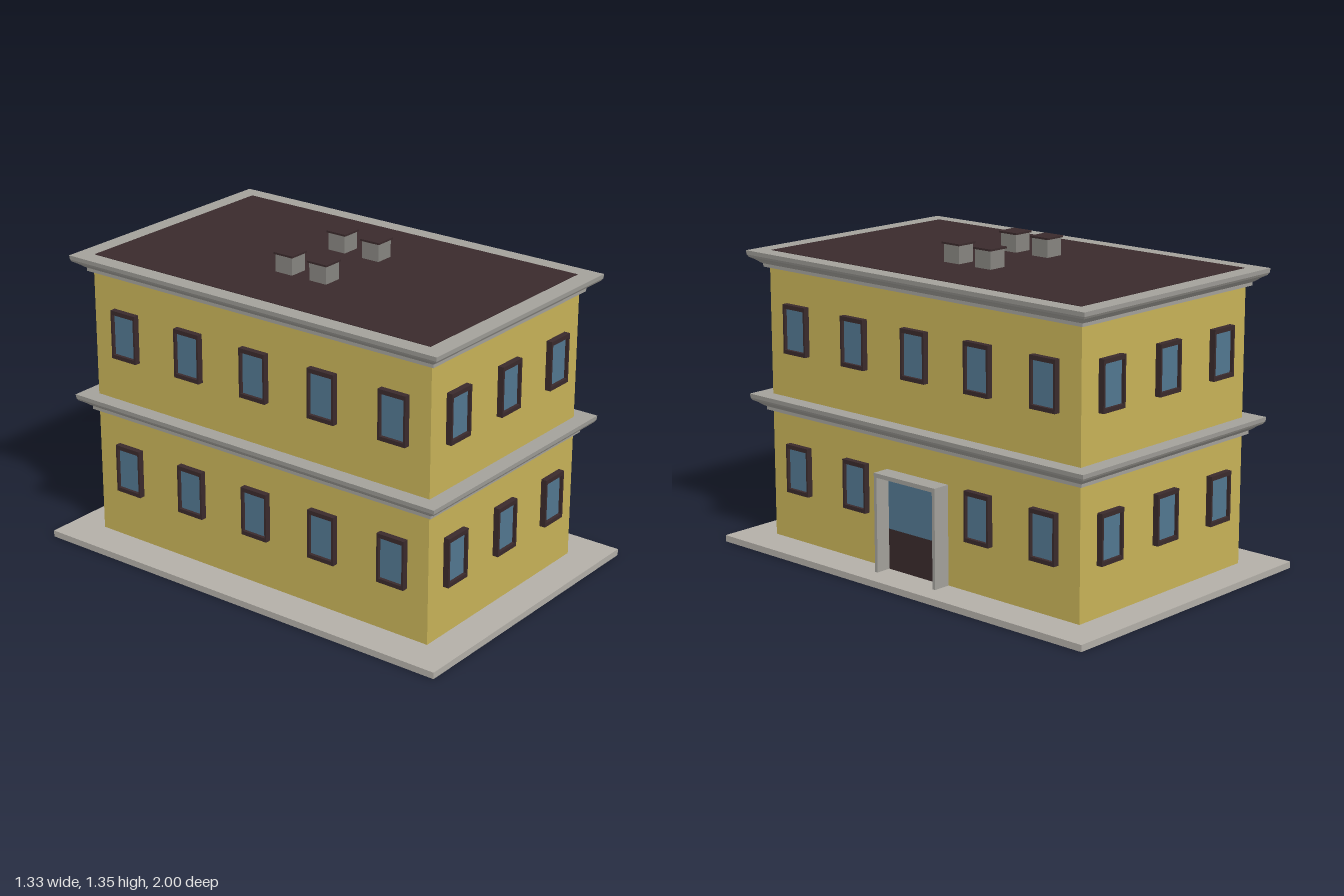
import * as THREE from 'three';

const mat = (name, color) => new THREE.MeshStandardMaterial({ name, color });

export function createModel() {
  const wall = mat('yellow wall', 0xc8b358);
  const dark = mat('dark brown', 0x3a2a2c);
  const glass = mat('blue glass', 0x527790);
  const trim = mat('grey trim', 0xa3a19b);
  const paving = mat('pale paving', 0xb3afa8);
  const brick = mat('chimney grey', 0x878580);

  const model = new THREE.Group();
  model.name = 'building';
  const HX = 0.505, HZ = 0.853;

  const add = (parent, name, geometry, material, x = 0, y = 0, z = 0) => {
    const mesh = new THREE.Mesh(geometry, material);
    mesh.name = name;
    mesh.position.set(x, y, z);
    parent.add(mesh);
    return mesh;
  };
  const box = (parent, name, m, w, h, d, x, y, z) =>
    add(parent, name, new THREE.BoxGeometry(w, h, d), m, x, y, z);

  // Rectangular frame in the xy plane, extruded outward along z
  const frameGeometry = (w, h, side, top, bottom, depth) => {
    const s = new THREE.Shape([[-w / 2, 0], [w / 2, 0], [w / 2, h], [-w / 2, h]]
      .map(p => new THREE.Vector2(...p)));
    const a = w / 2 - side;
    s.holes.push(new THREE.Path([[-a, bottom], [-a, h - top], [a, h - top], [a, bottom]]
      .map(p => new THREE.Vector2(...p))));
    return new THREE.ExtrudeGeometry(s, { depth, bevelEnabled: false });
  };

  // Moulding lofted from rectangles, one per [height, overhang] step
  const corniceGeometry = steps => {
    const pos = [];
    const corners = ([y, o]) => [[1, 1], [1, -1], [-1, -1], [-1, 1]]
      .map(([sx, sz]) => [sx * (HX + o), y, sz * (HZ + o)]);
    const quad = (a, b, c, d) => pos.push(...a, ...b, ...c, ...a, ...c, ...d);
    const rings = steps.map(corners);
    for (let i = 0; i + 1 < rings.length; i++) {
      for (let k = 0; k < 4; k++) {
        const n = (k + 1) % 4;
        quad(rings[i][k], rings[i][n], rings[i + 1][n], rings[i + 1][k]);
      }
    }
    const low = rings[0], high = rings[rings.length - 1];
    quad(high[0], high[1], high[2], high[3]);
    quad(low[3], low[2], low[1], low[0]);
    const g = new THREE.BufferGeometry();
    g.setAttribute('position', new THREE.Float32BufferAttribute(pos, 3));
    g.computeVertexNormals();
    return g;
  };

  // Ground slab and walls
  box(model, 'groundSlab', paving, 1.333, 0.028, 2, 0, 0.014, 0);
  box(model, 'walls', wall, HX * 2, 1.18, HZ * 2, 0, 0.618, 0);

  // Cornices above each floor
  const profile = [[0, 0.02], [0.014, 0.02], [0.018, 0.027], [0.032, 0.045],
    [0.042, 0.062], [0.052, 0.068], [0.07, 0.07]];
  const cornice = corniceGeometry(profile);
  add(model, 'middleCornice', cornice, trim, 0, 0.58, 0);
  add(model, 'roofCornice', cornice, trim, 0, 1.195, 0);
  box(model, 'roof', dark, 1.005, 0.008, 1.69, 0, 1.263, -0.002);

  // Windows
  const windowFrame = frameGeometry(0.13, 0.21, 0.009, 0.018, 0.017, 0.026);
  const pane = new THREE.BoxGeometry(0.114, 0.178, 0.008);
  const addWindow = (x, y, z, turn) => {
    const w = new THREE.Group();
    w.name = 'window';
    add(w, 'windowFrame', windowFrame, dark);
    add(w, 'windowPane', pane, glass, 0, 0.105, 0.008);
    w.position.set(x, y, z);
    w.rotation.y = turn;
    model.add(w);
  };
  for (const y of [0.241, 0.843]) {
    for (const k of [-1, 0, 1]) {
      addWindow(k * 0.341, y, HZ, 0);
      addWindow(k * 0.341, y, -HZ, Math.PI);
    }
    for (let k = -2; k <= 2; k++) {
      const z = k * 0.342 + 0.004;
      if (k !== 0 || y > 0.5) addWindow(HX, y, z, Math.PI / 2);
      addWindow(-HX, y, z, -Math.PI / 2);
    }
  }

  // Entrance: open portal around a half-glazed door
  const door = new THREE.Group();
  door.name = 'entrance';
  box(door, 'portalTop', trim, 0.34, 0.018, 0.077, 0, 0.411, 0.0385);
  for (const s of [-1, 1]) box(door, 'portalSide', trim, 0.015, 0.402, 0.077, s * 0.1625, 0.201, 0.0385);
  box(door, 'doorPanel', dark, 0.31, 0.172, 0.008, 0, 0.086, 0.005);
  box(door, 'doorGlass', glass, 0.31, 0.23, 0.008, 0, 0.287, 0.005);
  door.position.set(HX, 0.028, 0.005);
  door.rotation.y = Math.PI / 2;
  model.add(door);

  // Chimneys with thin caps
  for (const x of [-0.171, 0.172]) {
    for (const z of [-0.086, 0.086]) {
      const c = new THREE.Group();
      c.name = 'chimney';
      box(c, 'chimneyStack', brick, 0.084, 0.08, 0.084, 0, 0.04, 0);
      box(c, 'chimneyCap', dark, 0.096, 0.008, 0.096, 0, 0.081, 0);
      c.position.set(x, 1.265, z);
      model.add(c);
    }
  }
  return model;
}
